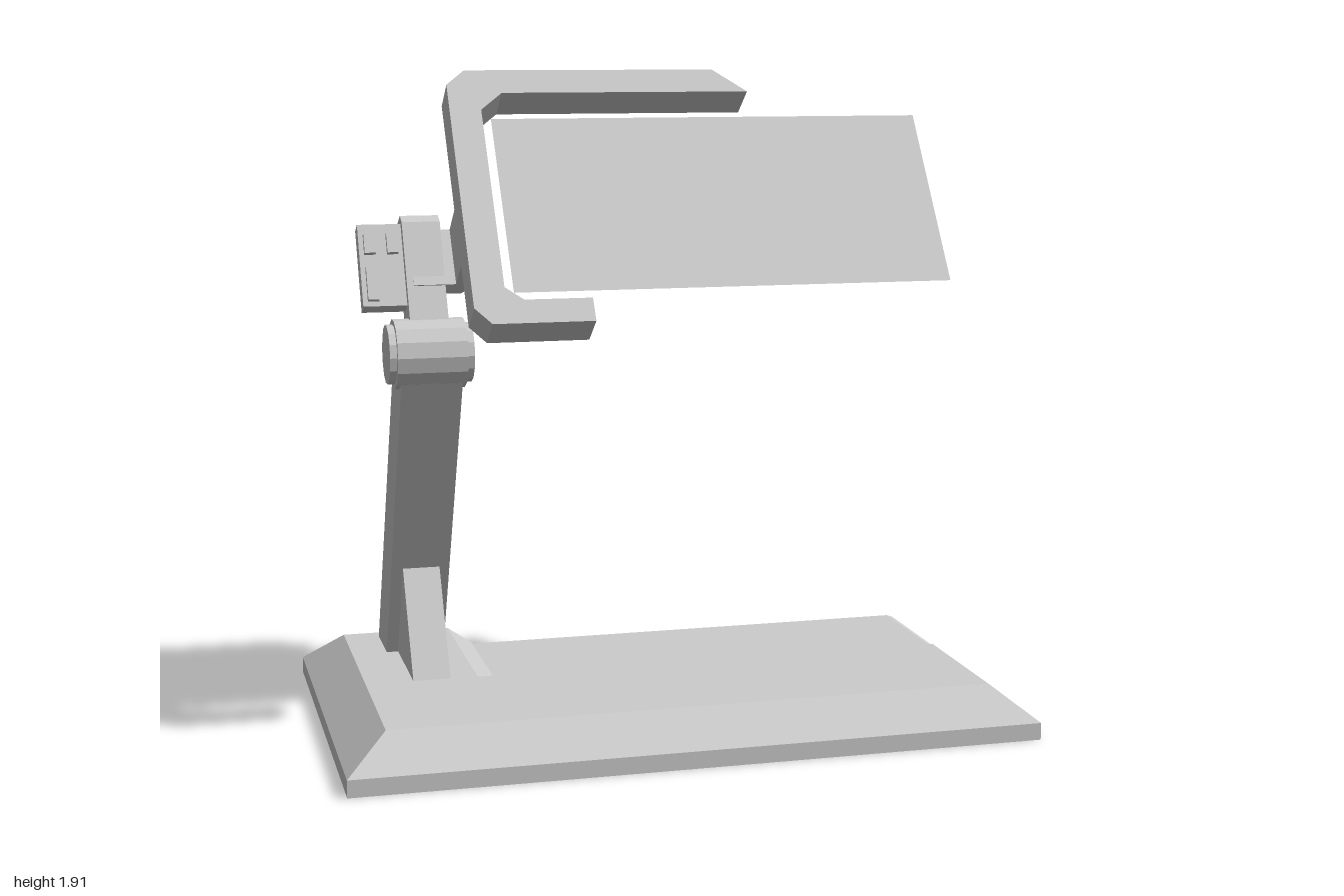
import * as THREE from 'three';

const grey = new THREE.MeshStandardMaterial({ color: 0xcccccc, flatShading: true });
const greyThin = new THREE.MeshStandardMaterial({ color: 0xcccccc, side: THREE.DoubleSide });

const shapeOf = pts => new THREE.Shape(pts.map(p => new THREE.Vector2(p[0], p[1])));
const extrude = (pts, depth) =>
  new THREE.ExtrudeGeometry(shapeOf(pts), { depth, bevelEnabled: false, curveSegments: 1 });

function add(parent, name, geometry, material = grey) {
  const mesh = new THREE.Mesh(geometry, material);
  mesh.name = name;
  parent.add(mesh);
  return mesh;
}

// Side profile of [z, y] points, swept from x0 to x1
const sideSlab = (pts, x0, x1) =>
  extrude(pts, x1 - x0).rotateY(-Math.PI / 2).translate(x1, 0, 0);

// Plan profile of [x, z] points, swept from y0 to y1
const planSlab = (pts, y0, y1) =>
  extrude(pts, y1 - y0).rotateX(Math.PI / 2).translate(0, y1, 0);

// Plan outline at y0 that tapers to a second outline at y1
function taperedSlab(outline, top, y0, y1) {
  const g = extrude(outline.map(([x, z]) => [x, -z]), y1 - y0);
  const p = g.attributes.position;
  for (let i = 0; i < p.count; i++) {
    if (p.getZ(i) < 1e-4) continue;
    const k = outline.findIndex(([x, z]) =>
      Math.hypot(p.getX(i) - x, p.getY(i) + z) < 1e-4);
    p.setXY(i, top[k][0], -top[k][1]);
  }
  g.rotateX(-Math.PI / 2).translate(0, y0, 0);
  g.computeVertexNormals();
  return g;
}

const box = (w, h, d, x, y, z) => new THREE.BoxGeometry(w, h, d).translate(x, y, z);

function buildBase() {
  const base = new THREE.Group();
  base.name = 'base';
  // L-shaped body with bevelled rim
  const outline = [[-1, -0.61], [-0.44, -0.61], [-0.44, -0.05], [1, -0.05], [1, 0.61], [-1, 0.61]];
  const top = [[-0.88, -0.5], [-0.55, -0.5], [-0.55, 0.06], [0.88, 0.06], [0.88, 0.5], [-0.88, 0.5]];
  add(base, 'baseFoot', planSlab(outline, 0, 0.05));
  add(base, 'baseBevel', taperedSlab(outline, top, 0.05, 0.145));
  // Low rear plate, separated from the body by a slot
  const plate = [[-0.46, -0.61], [1, -0.61], [1, -0.115], [-0.46, -0.115]];
  const plateTop = [[-0.48, -0.58], [0.97, -0.58], [0.97, -0.115], [-0.48, -0.115]];
  add(base, 'rearPlate', planSlab(plate, 0, 0.05));
  add(base, 'rearPlateTop', taperedSlab(plate, plateTop, 0.05, 0.065));
  return base;
}

function buildLowerArm() {
  const arm = new THREE.Group();
  arm.name = 'lowerArm';
  add(arm, 'armBeam', sideSlab(
    [[-0.275, 0.13], [0.18, 1.06], [0.09, 1.16], [0.01, 1.09], [-0.45, 0.155], [-0.45, 0.13]], -0.775, -0.6));
  add(arm, 'backRail', sideSlab(
    [[-0.41, 0.2], [0.02, 1.07], [-0.015, 1.055], [-0.44, 0.205], [-0.44, 0.18]], -0.71, -0.67));
  add(arm, 'gusset', sideSlab([[0.06, 0.14], [-0.13, 0.45], [-0.28, 0.14]], -0.74, -0.63));
  // Hinge barrel with stepped end caps
  for (const [name, r, len] of [['hingeBarrel', 0.1, 0.2], ['hingeCaps', 0.085, 0.24]]) {
    add(arm, name, new THREE.CylinderGeometry(r, r, len, 14)
      .rotateZ(Math.PI / 2).translate(-0.688, 1.12, 0.11));
  }
  return arm;
}

function buildUpperArm() {
  const arm = new THREE.Group();
  arm.name = 'upperArm';
  arm.position.set(0, 1.12, 0.11);
  arm.rotation.x = -0.476;
  add(arm, 'armLink', sideSlab(
    [[-0.055, 0], [0.055, 0], [0.055, 0.38], [0.03, 0.41], [-0.03, 0.41], [-0.055, 0.38]], -0.74, -0.63));
  // Control box with three raised buttons
  add(arm, 'controlBox', box(0.13, 0.25, 0.05, -0.8, 0.26, 0.005));
  for (const [x, y, h] of [[-0.835, 0.322, 0.06], [-0.77, 0.322, 0.06], [-0.835, 0.2, 0.1]]) {
    add(arm, 'button', box(0.032, h, 0.02, x, y, 0.036));
  }
  return arm;
}

function buildHead() {
  const head = new THREE.Group();
  head.name = 'head';
  head.position.set(0, 1.55, 0.209);
  head.rotation.x = -0.614;
  // C-shaped frame with chamfered corners
  add(head, 'cFrame', extrude([
    [-0.615, 0.357], [-0.56, 0.405], [0.17, 0.405], [0.265, 0.328], [-0.46, 0.328], [-0.525, 0.272],
    [-0.525, -0.298], [-0.475, -0.338], [-0.285, -0.338], [-0.285, -0.41], [-0.57, -0.41], [-0.615, -0.36],
  ], 0.11).translate(0, 0, -0.055));
  // Thin screen
  add(head, 'screen', new THREE.PlaneGeometry(1.28, 0.565).translate(0.155, 0.007, -0.02), greyThin);
  // Bent bracket from the frame back to the upper arm
  add(head, 'neckBracket', planSlab([
    [-0.6, -0.05], [-0.535, -0.05], [-0.535, -0.25], [-0.58, -0.3],
    [-0.72, -0.3], [-0.72, -0.245], [-0.6, -0.245],
  ], -0.12, 0.06));
  return head;
}

export function createModel() {
  const model = new THREE.Group();
  model.name = 'deskStand';
  model.add(buildBase(), buildLowerArm(), buildUpperArm(), buildHead());
  return model;
}
